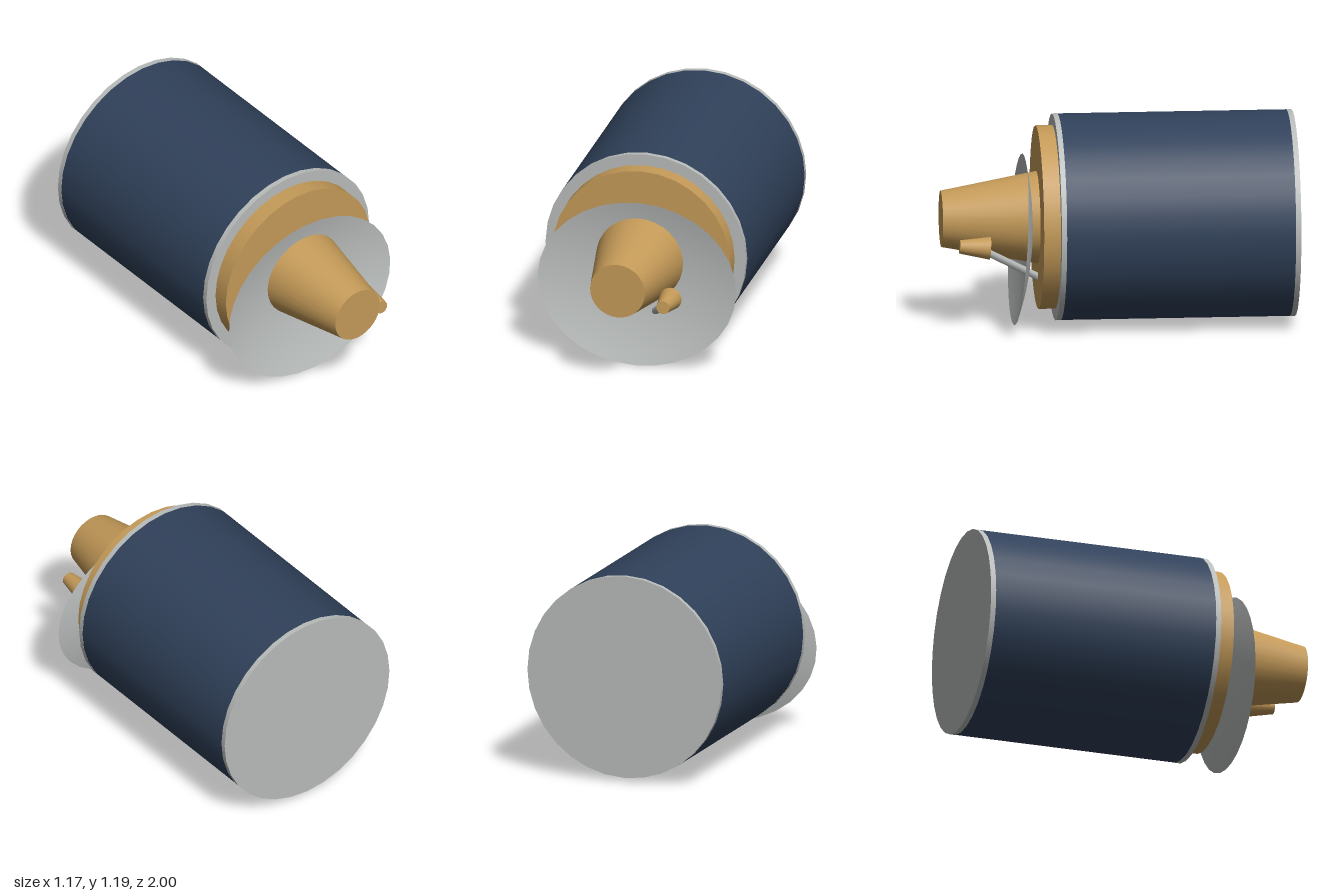
import * as THREE from 'three';

const material = (name, color, extra = {}) =>
  Object.assign(new THREE.MeshStandardMaterial({ color, ...extra }), { name });

export function createModel() {
  const group = new THREE.Group();
  const navy = material('navy blue', 0x30415a);
  const gold = material('gold foil', 0xc49a58);
  const grey = material('light grey', 0xb8bcba, { side: THREE.DoubleSide });
  const axisY = 0.61;

  const add = (name, geometry, mat) => {
    const mesh = new THREE.Mesh(geometry, mat);
    mesh.name = name;
    group.add(mesh);
    return mesh;
  };

  // Cylinder or cone running from point a (radius ra) to point b (radius rb)
  const rod = (name, a, b, ra, rb, sides, mat) => {
    const from = new THREE.Vector3(...a), to = new THREE.Vector3(...b);
    const dir = to.clone().sub(from);
    const geometry = new THREE.CylinderGeometry(rb, ra, dir.length(), sides);
    const spin = new THREE.Quaternion().setFromUnitVectors(
      new THREE.Vector3(0, 1, 0), dir.normalize());
    geometry.applyQuaternion(spin);
    const mesh = add(name, geometry, mat);
    mesh.position.copy(from).add(to).multiplyScalar(0.5);
  };
  const axial = (name, z0, z1, r0, r1, mat) =>
    rod(name, [0, axisY, z0], [0, axisY, z1], r0, r1, 32, mat);

  // Main drum with its end rings
  axial('backCap', -1, -0.97, 0.586, 0.586, grey);
  axial('drumBody', -0.97, 0.33, 0.585, 0.585, navy);
  axial('frontCap', 0.33, 0.36, 0.586, 0.586, grey);

  // Front collar and tapered nose
  axial('collar', 0.36, 0.455, 0.52, 0.52, gold);
  axial('noseCone', 0.455, 1, 0.262, 0.16, gold);

  // Shallow elliptical dish, open towards the front and leaning back
  const depth = 0.071;
  const profile = [];
  for (let i = 0; i <= 10; i++) {
    const r = i / 10;
    profile.push(new THREE.Vector2(r, depth * (r * r - 1)));
  }
  const dishGeometry = new THREE.LatheGeometry(profile, 32);
  dishGeometry.rotateX(Math.PI / 2);
  dishGeometry.scale(0.58, 0.482, 1);
  const dish = add('dish', dishGeometry, grey);
  dish.position.set(0, 0.483, 0.56);
  dish.rotation.x = -0.073;

  // Feed horn on its slanted strut
  rod('feedHorn', [0.243, 0.489, 0.74], [0.243, 0.5, 0.913], 0.065, 0.038, 20, gold);
  rod('feedStrut', [0.053, 0.265, 0.43], [0.228, 0.46, 0.75], 0.022, 0.022, 8, grey);

  return group;
}
